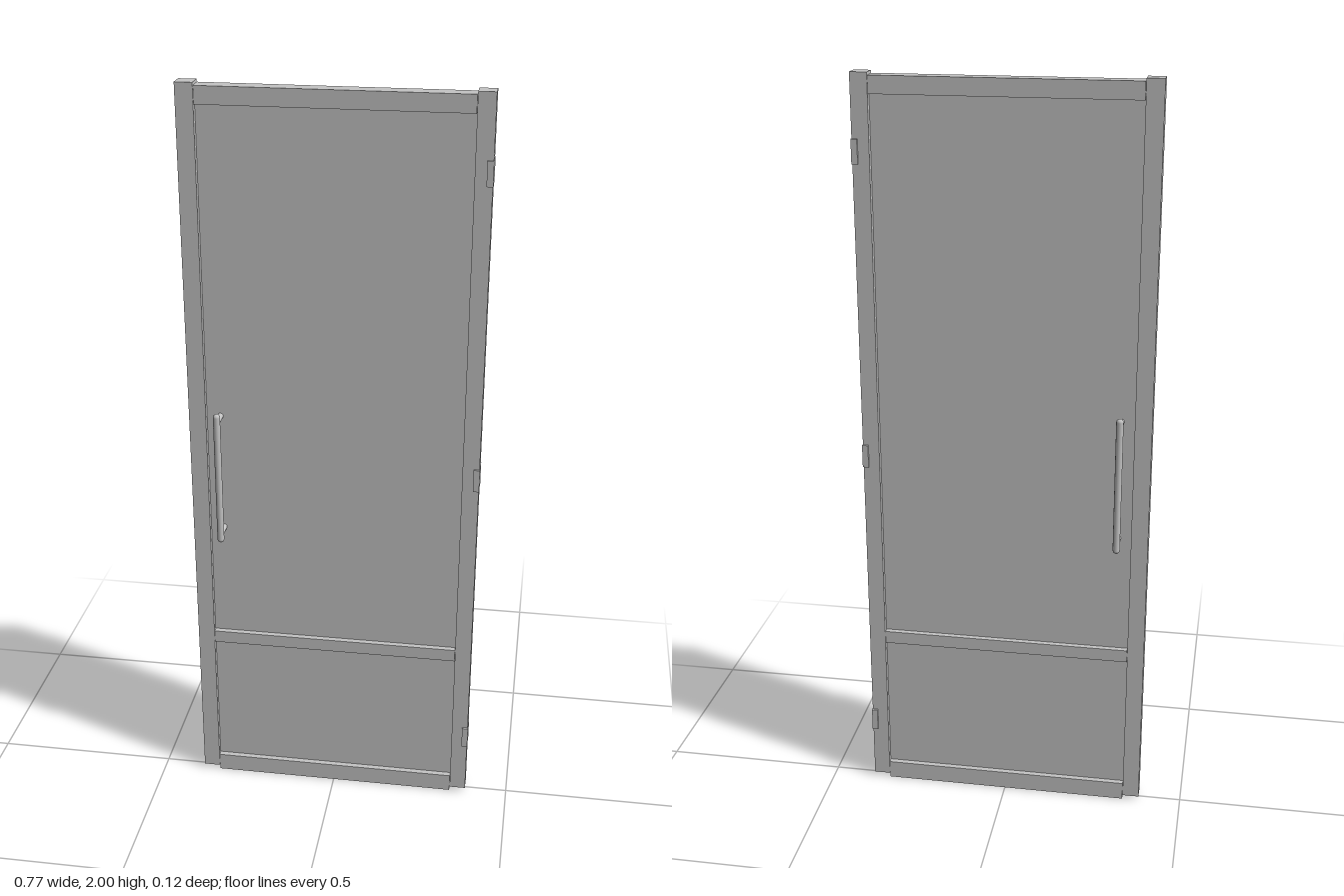
import * as THREE from 'three';

export function createModel() {
  const door = new THREE.Group();
  door.name = 'door';
  const grey = new THREE.MeshStandardMaterial({ color: 0xc4c4c4 });
  grey.name = 'light grey';

  const add = (name, geometry, x, y, z) => {
    const mesh = new THREE.Mesh(geometry, grey);
    mesh.name = name;
    mesh.position.set(x, y, z);
    door.add(mesh);
    return mesh;
  };
  // Box given by its limits in x and y, and its half depth
  const slab = (name, x0, x1, y0, y1, halfDepth) =>
    add(name, new THREE.BoxGeometry(x1 - x0, y1 - y0, halfDepth * 2), (x0 + x1) / 2, (y0 + y1) / 2, 0);

  // Upright stiles
  slab('rightStile', -0.384, -0.339, 0.012, 2, 0.0215);
  slab('leftStile', 0.339, 0.383, 0.012, 2, 0.0215);

  // Cross rails, with a hairline joint at the stiles
  slab('topRail', -0.338, 0.338, 1.948, 1.993, 0.0215);
  slab('middleRail', -0.338, 0.338, 0.44, 0.475, 0.0215);
  slab('bottomRail', -0.338, 0.338, 0, 0.05, 0.0215);

  // Recessed panes, let into the frame
  slab('upperPane', -0.34, 0.34, 0.47, 1.95, 0.006);
  slab('lowerPanel', -0.34, 0.34, 0.045, 0.445, 0.006);

  // Hinges on the outer edge of the left stile
  for (const y of [0.191, 1.0, 1.808]) slab('hinge', 0.368, 0.384, y - 0.031, y + 0.031, 0.0275);

  // Pull bars on both faces
  const handleX = -0.303;
  for (const side of [-1, 1]) {
    add('handleBar', new THREE.CapsuleGeometry(0.0095, 0.358, 3, 12), handleX, 0.968, side * 0.0525);
  }

  // Posts running through the door to join the bars
  for (const y of [0.803, 1.132]) {
    const post = add('handlePost', new THREE.CylinderGeometry(0.0078, 0.0078, 0.1, 12), handleX, y, 0);
    post.rotation.x = Math.PI / 2;
  }

  return door;
}
